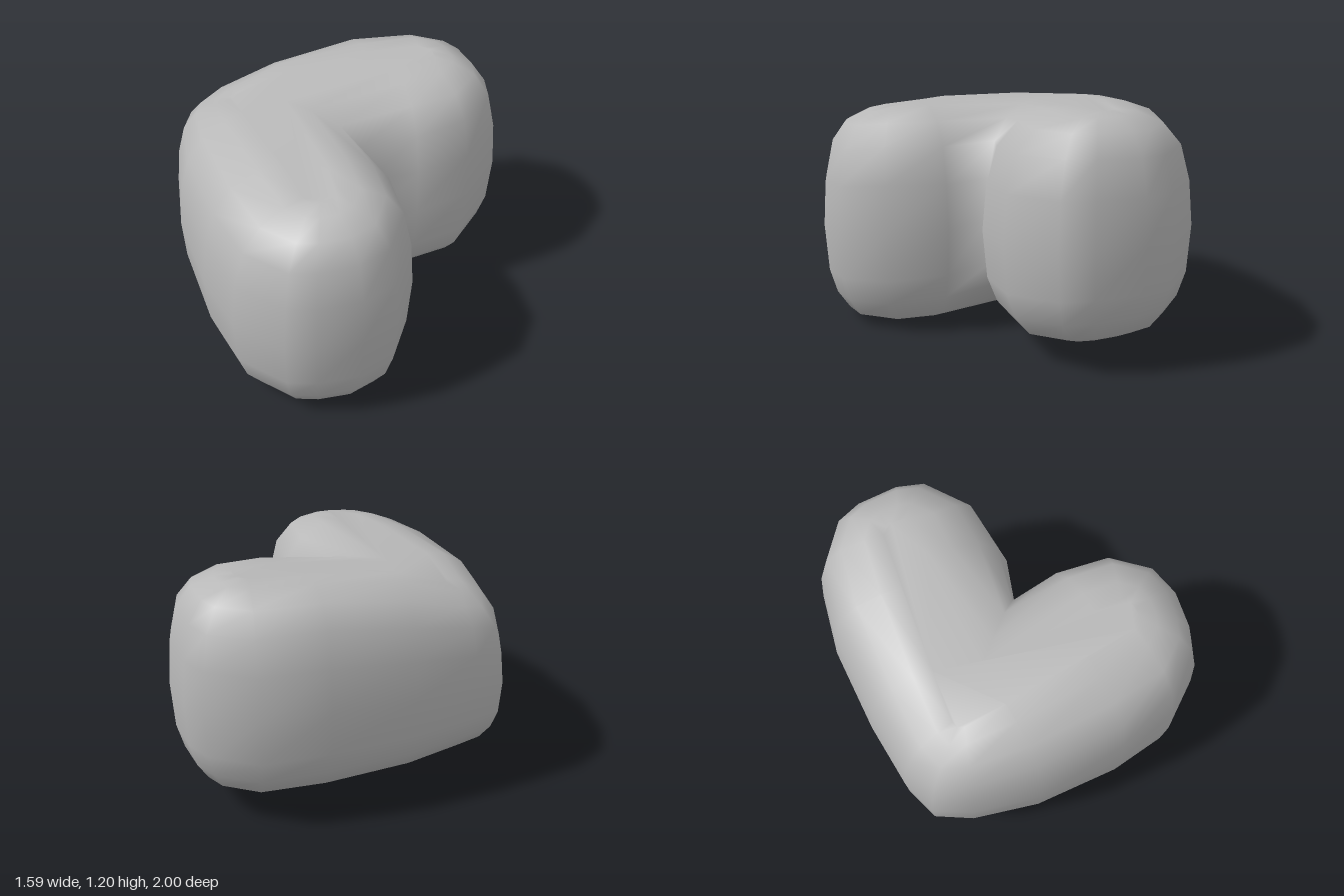
import * as THREE from 'three';

// Heart outline seen from above as [x, z], starting at the pointed tip.
const OUTLINE = [
  [-0.795, 0.07], [-0.73, -0.11], [-0.54, -0.39], [-0.26, -0.73], [0, -0.945],
  [0.27, -1], [0.42, -0.945], [0.61, -0.79], [0.7, -0.65], [0.69, -0.34], [0.53, -0.1],
  [0.34, 0.02], // cleft between the lobes
  [0.53, 0.11], [0.73, 0.34], [0.79, 0.6], [0.71, 0.78], [0.55, 0.93],
  [0.42, 1], [0.13, 0.99], [-0.14, 0.835], [-0.49, 0.54], [-0.71, 0.26],
];
const CLEFT = 11;

// Rounded edge: [inset towards the spine, height from -1 at the bottom to 1 at the top].
const PROFILE = [
  [0.82, -1], [0.55, -0.985], [0.28, -0.9], [0.13, -0.73], [0.04, -0.5], [0, -0.05],
  [0.04, 0.37], [0.14, 0.7], [0.33, 0.89], [0.6, 0.98], [0.82, 1],
];

// The spine is a V running from the tip into both lobes.
const spineTip = new THREE.Vector2(-0.4, 0.07);
const spineBack = new THREE.Vector2(0.27, -0.58);
const spineFront = new THREE.Vector2(0.36, 0.57);

function spineTarget(p, i) {
  if (i === CLEFT) return new THREE.Vector2(-0.25, 0.06);
  const arm = (p.y < 0.07 ? spineBack : spineFront).clone().sub(spineTip);
  const along = p.clone().sub(spineTip).dot(arm) / arm.lengthSq();
  return arm.multiplyScalar(THREE.MathUtils.clamp(along, 0, 1)).add(spineTip);
}

// Ridge heights as [z, y] from back to front; both lobes swell beside the cleft.
const TOP = [[-1, 1.18], [-0.72, 1.2], [-0.22, 1.185], [0.07, 1.115], [0.34, 1.145], [0.64, 1.1], [1, 1.07]];
const BOTTOM = [[-1, 0.15], [-0.79, 0.13], [-0.57, 0.105], [-0.3, 0.08], [0, 0.09], [0.24, 0.015], [0.5, 0], [1, 0]];

function heightAt(points, z) {
  const k = Math.max(1, points.findIndex(([pz]) => pz >= z));
  const [z0, y0] = points[k - 1], [z1, y1] = points[k];
  return THREE.MathUtils.mapLinear(z, z0, z1, y0, y1);
}

// The body thins towards the tip.
const topY = (x, z) => heightAt(TOP, z) - 0.25 * Math.max(0, -0.2 - x);
const bottomY = (x, z) => heightAt(BOTTOM, z) + 0.17 * Math.max(0, -x);

function heartGeometry() {
  const n = OUTLINE.length;
  const positions = [];
  const index = [];
  const rings = PROFILE.map(([t, h]) => OUTLINE.map(([x, z], i) => {
    const edge = new THREE.Vector2(x, z);
    const p = edge.clone().lerp(spineTarget(edge, i), t);
    const y = THREE.MathUtils.lerp(bottomY(p.x, p.y), topY(p.x, p.y), (h + 1) / 2);
    positions.push(p.x, y, p.y);
    return p;
  }));

  // Rounded wall
  for (let j = 0; j < rings.length - 1; j++) {
    for (let i = 0; i < n; i++) {
      const a = j * n + i, b = j * n + (i + 1) % n;
      index.push(a, a + n, b, b, a + n, b + n);
    }
  }

  // Top and bottom caps, sharing the ring vertices so the shading stays smooth
  const cap = (j, up) => {
    const ring = rings[j];
    for (const [a, b, c] of THREE.ShapeUtils.triangulateShape(ring, [])) {
      const area = ring[b].clone().sub(ring[a]).cross(ring[c].clone().sub(ring[a]));
      const facesUp = area < 0;
      const tri = facesUp === up ? [a, b, c] : [a, c, b];
      index.push(...tri.map((v) => j * n + v));
    }
  };
  cap(0, false);
  cap(rings.length - 1, true);

  const geometry = new THREE.BufferGeometry();
  geometry.setAttribute('position', new THREE.Float32BufferAttribute(positions, 3));
  geometry.setIndex(index);
  geometry.computeVertexNormals();
  return geometry;
}

export function createModel() {
  const group = new THREE.Group();
  group.name = 'heartCushion';
  const grey = new THREE.MeshStandardMaterial({ color: 0xb8b8b8 });
  grey.name = 'grey';
  const heart = new THREE.Mesh(heartGeometry(), grey);
  heart.name = 'heart';
  group.add(heart);
  return group;
}
